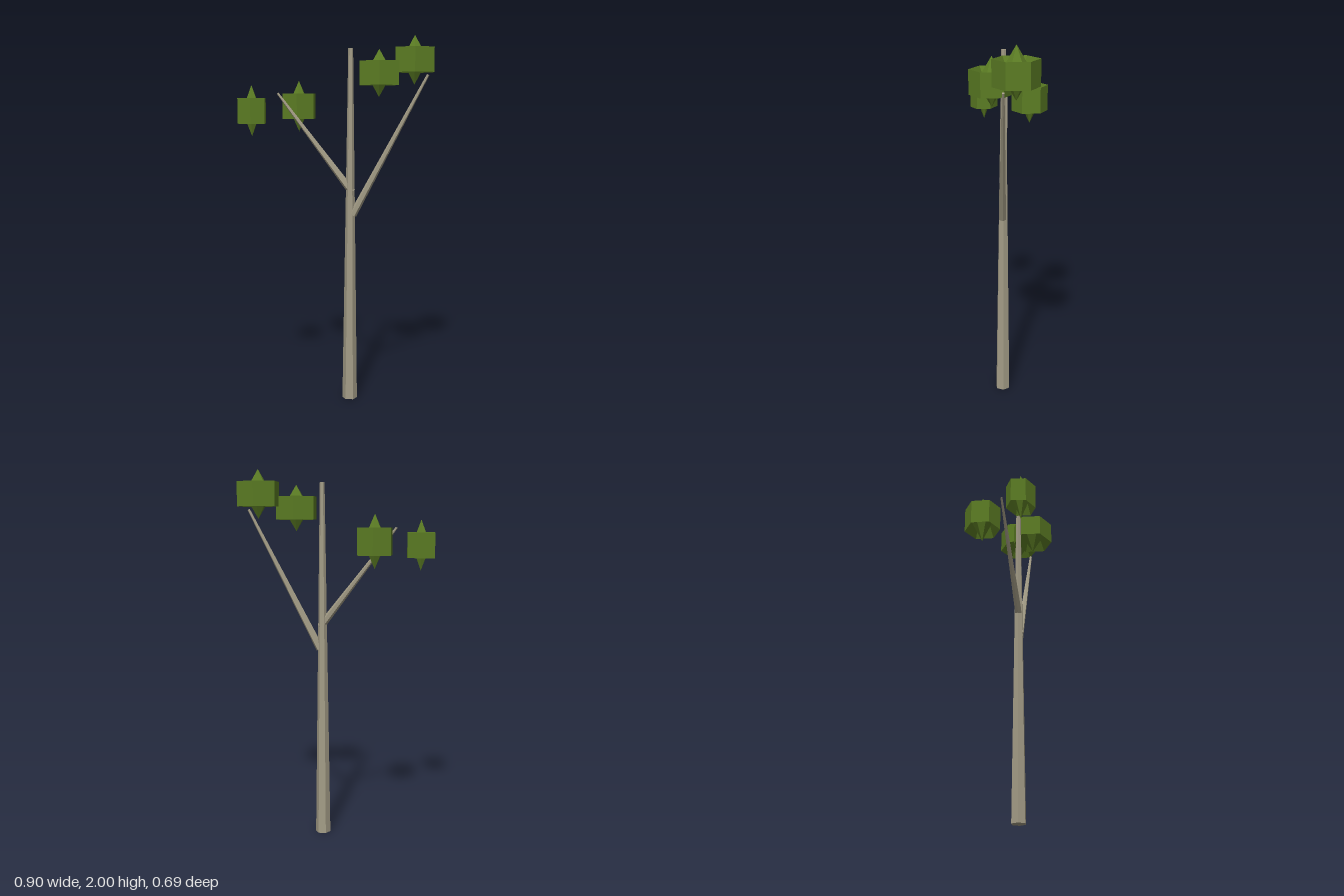
import * as THREE from 'three';

const bark = new THREE.MeshStandardMaterial({ color: 0xa39c86, flatShading: true });
bark.name = 'bark';
const leaf = new THREE.MeshStandardMaterial({ color: 0x5c7d24, flatShading: true, side: THREE.DoubleSide });
leaf.name = 'leaf green';

// Tapered six-sided limb running between two points
function limb(name, from, to, r0, r1) {
  const a = new THREE.Vector3(...from), b = new THREE.Vector3(...to);
  const dir = b.clone().sub(a);
  const mesh = new THREE.Mesh(new THREE.CylinderGeometry(r1, r0, dir.length(), 6), bark);
  mesh.name = name;
  mesh.position.copy(a).add(b).multiplyScalar(0.5);
  mesh.quaternion.setFromUnitVectors(new THREE.Vector3(0, 1, 0), dir.normalize());
  return mesh;
}

// Hexagonal band whose two end cones cross inside it: a dished rim with a spike
function clumpGeometry() {
  const half = (s) => [[0, s], [2 / 3, 0], [1, s / 2]].map(([r, y]) => new THREE.Vector2(r, y));
  const profile = [...half(-1), ...half(1).reverse()];
  return new THREE.LatheGeometry(profile, 6, Math.PI / 2);
}

export function createModel() {
  const tree = new THREE.Group();
  tree.name = 'tree';

  // Trunk and two branches
  tree.add(
    limb('trunk', [0.053, 0, -0.043], [0.053, 1.93, -0.045], 0.041, 0.013),
    limb('rightBranch', [0.062, 1.165, -0.047], [-0.318, 1.695, 0.113], 0.021, 0.006),
    limb('leftBranch', [0.068, 1.04, -0.047], [0.424, 1.79, -0.221], 0.021, 0.007),
  );

  // Leaf clumps: centre, then x radius, half height, z half depth
  const geometry = clumpGeometry();
  const clumps = [
    [-0.363, 1.602, 0.278, 0.088, 0.135, 0.064],
    [-0.289, 1.625, -0.04, 0.099, 0.14, 0.086],
    [0.221, 1.798, -0.061, 0.121, 0.124, 0.096],
    [0.33, 1.87, -0.243, 0.118, 0.13, 0.1],
  ];
  clumps.forEach(([x, y, z, rx, h, hz], i) => {
    const mesh = new THREE.Mesh(geometry, leaf);
    mesh.name = `leafClump${i + 1}`;
    mesh.position.set(x, y, z);
    mesh.scale.set(rx, h, hz / Math.cos(Math.PI / 6));
    tree.add(mesh);
  });
  return tree;
}
